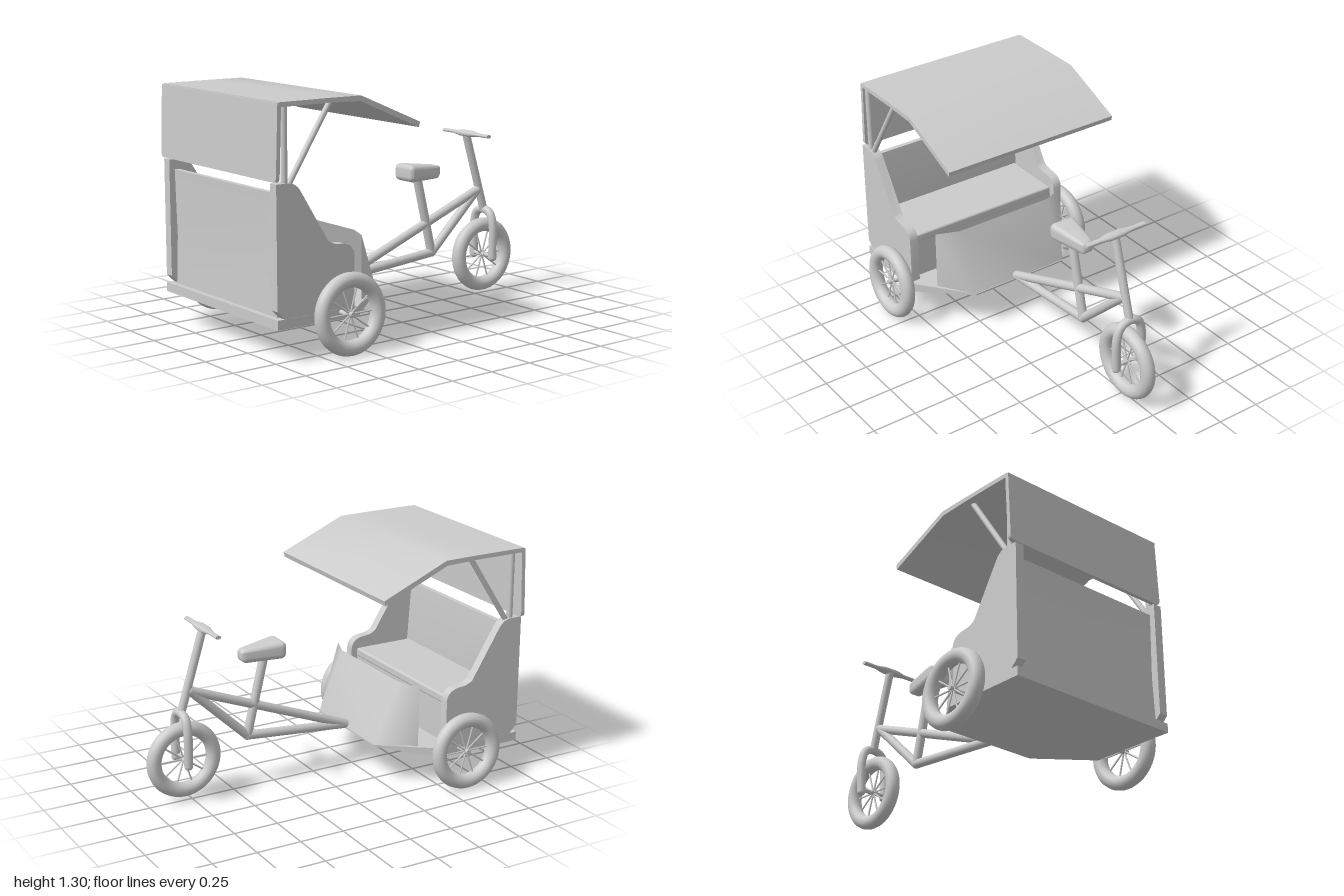
import * as THREE from 'three';
import { RoundedBoxGeometry } from 'three/addons/geometries/RoundedBoxGeometry.js';
import { toCreasedNormals } from 'three/addons/utils/BufferGeometryUtils.js';

const mat = new THREE.MeshStandardMaterial({ color: 0xcccccc });
const thin = new THREE.MeshStandardMaterial({ color: 0xcccccc, side: THREE.DoubleSide });
const V = (x, y, z) => new THREE.Vector3(x, y, z);

function add(parent, name, geometry, material = mat) {
  const mesh = new THREE.Mesh(geometry, material);
  mesh.name = name;
  parent.add(mesh);
  return mesh;
}

// Straight round tube between two points
function rod(parent, name, a, b, r, sides = 16) {
  const dir = b.clone().sub(a);
  const mesh = add(parent, name, new THREE.CylinderGeometry(r, r, dir.length(), sides));
  mesh.position.copy(a).add(b).multiplyScalar(0.5);
  mesh.quaternion.setFromUnitVectors(V(0, 1, 0), dir.normalize());
  return mesh;
}

// Extrude a [z, y] outline across x, between x0 and x1, smoothing gentle bends
function acrossX(outline, x0, x1) {
  const shape = new THREE.Shape(outline.map(([z, y]) => new THREE.Vector2(z, y)));
  const geometry = new THREE.ExtrudeGeometry(shape, { depth: x1 - x0, bevelEnabled: false });
  return toCreasedNormals(geometry.rotateY(-Math.PI / 2).translate(x1, 0, 0), 0.6);
}

// Tyre, hub and spokes, with the axle along x
function makeWheel(name) {
  const wheel = new THREE.Group();
  wheel.name = name;
  add(wheel, 'tyre', new THREE.TorusGeometry(0.174, 0.04, 16, 48).rotateY(Math.PI / 2));
  add(wheel, 'hub', new THREE.CylinderGeometry(0.013, 0.013, 0.05, 16).rotateZ(Math.PI / 2));
  for (let i = 0; i < 10; i++) {
    const a = (i / 10) * Math.PI * 2;
    rod(wheel, 'spoke', V(0, 0, 0), V(0, 0.15 * Math.sin(a), 0.15 * Math.cos(a)), 0.005, 6);
  }
  return wheel;
}

function makeCabin() {
  const cabin = new THREE.Group();
  cabin.name = 'passengerCabin';

  // Floor with tapered nose that rises slightly
  const plan = [[-0.525, 1], [0.525, 1], [0.525, 0.5], [0.3, 0.21], [-0.3, 0.21], [-0.525, 0.5]];
  const floorShape = new THREE.Shape(plan.map(([x, z]) => new THREE.Vector2(x, -z)));
  const floor = new THREE.ExtrudeGeometry(floorShape, { depth: 0.05, bevelEnabled: false })
    .rotateX(-Math.PI / 2).translate(0, 0.18, 0);
  const p = floor.attributes.position;
  for (let i = 0; i < p.count; i++) if (p.getZ(i) < 0.3) p.setY(i, Math.max(p.getY(i), 0.22));
  floor.computeVertexNormals();
  add(cabin, 'floor', floor);

  // Side panels with armrest, sloping upper edge and a notch at the lower rear corner
  const side = new THREE.Shape();
  side.moveTo(0.957, 0.23);
  side.lineTo(0.957, 0.185);
  side.lineTo(0.528, 0.185);
  side.lineTo(0.528, 0.5);
  side.quadraticCurveTo(0.535, 0.56, 0.61, 0.565);
  side.quadraticCurveTo(0.66, 0.565, 0.69, 0.59);
  side.lineTo(0.86, 0.865);
  side.quadraticCurveTo(0.89, 0.905, 0.93, 0.905);
  side.lineTo(1, 0.905);
  side.lineTo(1, 0.273);
  const outline = side.getPoints(6).map((v) => [v.x, v.y]);
  for (const s of [-1, 1]) {
    const x = s * 0.498;
    add(cabin, 'sidePanel', acrossX(outline, x - 0.026, x + 0.026));
  }

  // Backrest, nearly flush with the rear edges, leaning on the inside
  add(cabin, 'backrest', acrossX(
    [[0.94, 0.85], [0.968, 0.85], [0.958, 0.49], [0.968, 0.23], [0.94, 0.23], [0.915, 0.49]], -0.473, 0.473));

  // Seat bench
  add(cabin, 'seat', new RoundedBoxGeometry(0.944, 0.05, 0.37, 3, 0.012)).position.set(0, 0.475, 0.745);
  add(cabin, 'seatFront', new THREE.BoxGeometry(0.944, 0.23, 0.02)).position.set(0, 0.34, 0.575);

  // Folded front shield: lower row then upper row of corners across x
  const corners = [
    V(-0.43, 0.195, 0.41), V(-0.3, 0.22, 0.21), V(0.3, 0.22, 0.21), V(0.43, 0.195, 0.41),
    V(-0.43, 0.57, 0.41), V(-0.3, 0.57, 0.36), V(0.3, 0.57, 0.36), V(0.43, 0.57, 0.41)];
  const shield = new THREE.BufferGeometry().setFromPoints(corners);
  shield.setIndex([0, 4, 1, 4, 5, 1, 1, 5, 6, 1, 6, 2, 2, 6, 7, 2, 7, 3]);
  shield.computeVertexNormals();
  add(cabin, 'frontShield', shield, thin);
  return cabin;
}

function makeCanopy() {
  const canopy = new THREE.Group();
  canopy.name = 'canopy';
  add(canopy, 'roof', acrossX(
    [[0.975, 1.302], [0.68, 1.302], [0.48, 1.3], [0.1, 1.138], [0.107, 1.11], [0.485, 1.272], [0.68, 1.278], [0.975, 1.278]],
    -0.56, 0.515));

  // Hanging rear panel with rounded lower corners, its top leaning in
  const x0 = -0.56, x1 = 0.515, r = 0.03, h = 0.388;
  const s = new THREE.Shape();
  s.moveTo(x0, h);
  s.lineTo(x0, r);
  s.quadraticCurveTo(x0, 0, x0 + r, 0);
  s.lineTo(x1 - r, 0);
  s.quadraticCurveTo(x1, 0, x1, r);
  s.lineTo(x1, h);
  const panel = add(canopy, 'rearPanel', new THREE.ExtrudeGeometry(s, { depth: 0.022, bevelEnabled: false }));
  panel.position.set(0, 0.91, 0.977);
  panel.rotation.x = -0.035;

  // Posts and diagonal braces
  for (const x of [-0.505, 0.497]) {
    rod(canopy, 'post', V(x, 0.8, 0.938), V(x, 1.29, 0.938), 0.017);
    rod(canopy, 'brace', V(x, 0.86, 0.935), V(x, 1.285, 0.66), 0.015);
  }
  return canopy;
}

function makeBicycle() {
  const bike = new THREE.Group();
  bike.name = 'bicycle';
  const hitch = V(0, 0.245, 0.22), crank = V(0, 0.3, -0.405), head = V(0, 0.62, -0.74);

  // Frame tubes
  rod(bike, 'lowerTube', hitch, crank, 0.025);
  rod(bike, 'upperTube', hitch, head, 0.025);
  rod(bike, 'downTube', crank, head, 0.025);
  rod(bike, 'seatTube', crank, V(0, 0.75, -0.295), 0.025);
  for (const j of [crank, head]) add(bike, 'joint', new THREE.SphereGeometry(0.026, 16, 12)).position.copy(j);
  rod(bike, 'steeringTube', V(0, 0.5, -0.797), V(0, 0.955, -0.657), 0.023);

  // Fork arching over the front wheel
  const arch = [[-0.08, 0.23], [-0.08, 0.42], [-0.055, 0.485], [0, 0.505], [0.055, 0.485], [0.08, 0.42], [0.08, 0.23]];
  const path = new THREE.CatmullRomCurve3(arch.map(([x, y]) => V(x, y, -0.797)));
  add(bike, 'fork', new THREE.TubeGeometry(path, 40, 0.024, 14));
  for (const x of [-0.08, 0.08]) add(bike, 'forkEnd', new THREE.SphereGeometry(0.024, 14, 10)).position.set(x, 0.23, -0.797);
  rod(bike, 'frontAxle', V(-0.08, 0.24, -0.79), V(0.08, 0.24, -0.79), 0.012);

  // Handlebar, flattened and wider in the middle
  const bar = [[0, -0.19], [0.016, -0.19], [0.016, -0.1], [0.03, -0.04], [0.03, 0.04], [0.016, 0.1], [0.016, 0.19], [0, 0.19]];
  add(bike, 'handlebar', toCreasedNormals(
    new THREE.LatheGeometry(bar.map(([r, y]) => new THREE.Vector2(r, y)), 20).rotateZ(Math.PI / 2).scale(1, 0.6, 1), 0.7))
    .position.set(0, 0.957, -0.66);

  // Saddle narrowing and dropping towards the nose
  const saddle = new RoundedBoxGeometry(0.165, 0.1, 0.25, 5, 0.03);
  const p = saddle.attributes.position;
  for (let i = 0; i < p.count; i++) {
    const t = 0.5 - p.getZ(i) / 0.25;
    p.setX(i, p.getX(i) * (1 - 0.6 * t));
    if (p.getY(i) > 0) p.setY(i, p.getY(i) * (1 - 0.6 * t));
  }
  add(bike, 'saddle', toCreasedNormals(saddle, 0.7)).position.set(0, 0.776, -0.32);

  const wheel = makeWheel('frontWheel');
  wheel.position.set(0, 0.24, -0.787);
  bike.add(wheel);
  bike.position.x = 0.012;
  return bike;
}

export function createModel() {
  const model = new THREE.Group();
  model.name = 'cycleRickshaw';
  const cabin = makeCabin();
  cabin.position.x = -0.005;
  model.add(cabin, makeCanopy(), makeBicycle());

  // Rear wheels lean in slightly at the top
  for (const s of [-1, 1]) {
    const wheel = makeWheel(s > 0 ? 'leftRearWheel' : 'rightRearWheel');
    wheel.position.set(s * 0.6, 0.22, 0.615);
    wheel.rotation.z = s * 0.045;
    model.add(wheel);
    rod(model, 'rearAxle', V(s * 0.45, 0.215, 0.615), V(s * 0.61, 0.215, 0.615), 0.012);
  }
  return model;
}
